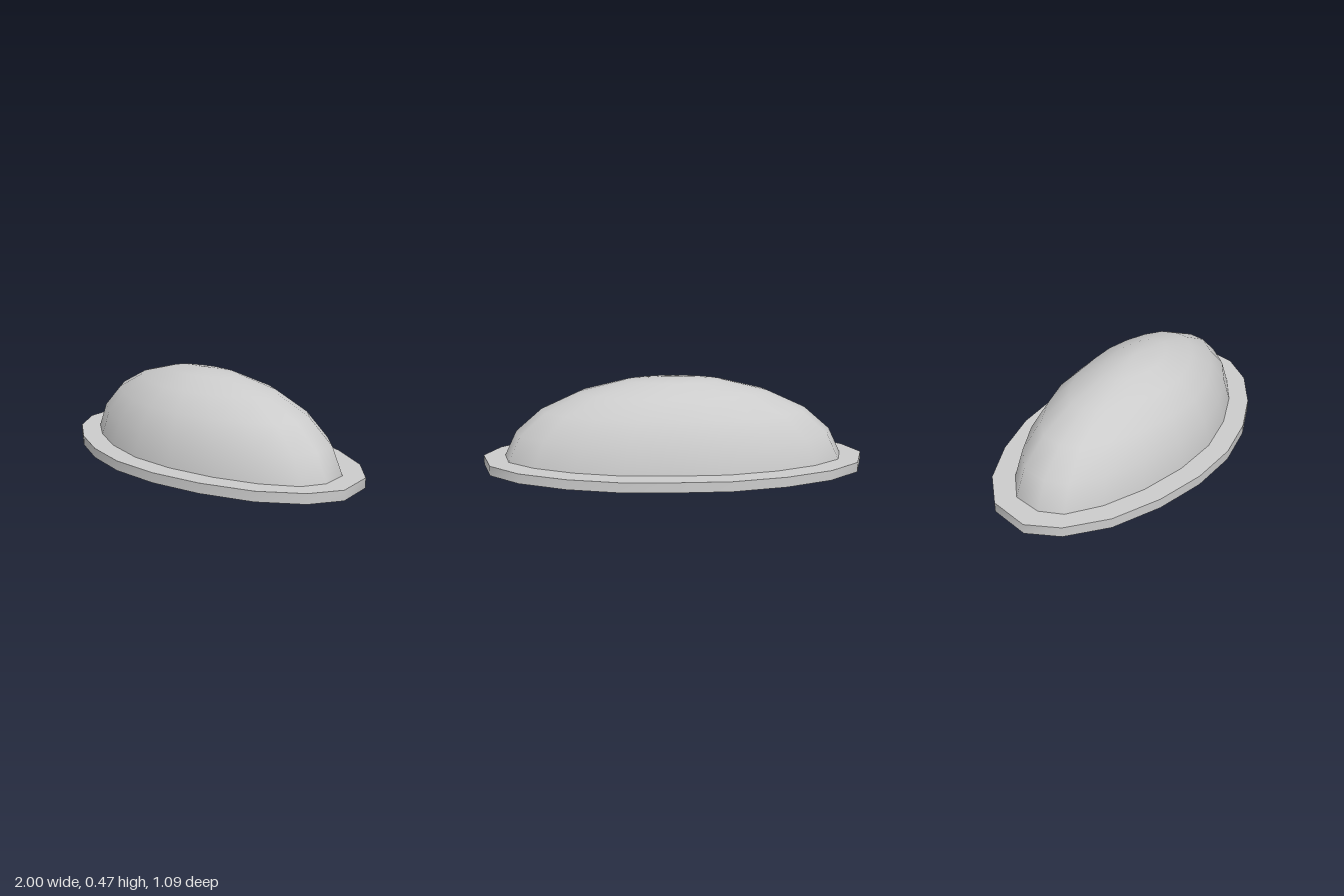
import * as THREE from 'three';
import { mergeVertices } from 'three/addons/utils/BufferGeometryUtils.js';

// Half outlines (x >= 0) from the back middle round to the front middle, as [x, z]
const OUTER = [[0, -0.545], [0.26, -0.538], [0.53, -0.476], [0.77, -0.372], [0.933, -0.232],
  [1, -0.02], [0.935, 0.145], [0.77, 0.306], [0.53, 0.43], [0.27, 0.51], [0, 0.54]];
const INNER = [[0, -0.438], [0.255, -0.43], [0.5, -0.37], [0.705, -0.28], [0.847, -0.168],
  [0.887, -0.02], [0.847, 0.1], [0.705, 0.222], [0.5, 0.327], [0.255, 0.402], [0, 0.432]];

const RIM_HEIGHT = 0.05;

// Mirror a half outline into a closed loop
function closeLoop(half) {
  const mirrored = half.slice(1, -1).reverse().map(([x, z]) => [-x, z]);
  return [...half, ...mirrored];
}

// Place an outline at height y, scaled towards the middle
function ring(outline, y, sx = 1, sz = sx, dz = 0) {
  return outline.map(([x, z]) => [x * sx, y, z * sz + dz]);
}

// Smooth skin through a stack of rings
function skin(rings) {
  const n = rings[0].length;
  const index = [];
  for (let r = 0; r < rings.length - 1; r++) {
    for (let i = 0; i < n; i++) {
      const j = (i + 1) % n;
      const a = r * n + i, b = r * n + j, c = a + n, d = b + n;
      index.push(a, c, b, b, c, d);
    }
  }
  let geometry = new THREE.BufferGeometry();
  geometry.setAttribute('position', new THREE.Float32BufferAttribute(rings.flat(2), 3));
  geometry.setIndex(index);
  geometry = mergeVertices(geometry);
  geometry.computeVertexNormals();
  return geometry;
}

export function createModel() {
  const model = new THREE.Group();
  model.name = 'domedCover';
  const material = new THREE.MeshStandardMaterial({ color: 0xcccccc, side: THREE.DoubleSide });
  const outer = closeLoop(OUTER);
  const inner = closeLoop(INNER);

  const add = (name, rings) => {
    const mesh = new THREE.Mesh(skin(rings), material);
    mesh.name = name;
    model.add(mesh);
  };

  // Flat flange: separate skins keep its edges sharp
  add('rimUnderside', [ring(inner, 0), ring(outer, 0)]);
  add('rimEdge', [ring(outer, 0), ring(outer, RIM_HEIGHT)]);
  add('rimTop', [ring(outer, RIM_HEIGHT), ring(inner, RIM_HEIGHT)]);

  // Hollow shell, open below: [y, x scale, z scale, z shift]
  const levels = [[0, 1, 1, 0], [RIM_HEIGHT, 1, 1, 0], [0.18, 0.93, 0.932, 0],
    [0.297, 0.778, 0.785, 0.001], [0.387, 0.555, 0.57, 0.002],
    [0.445, 0.285, 0.295, 0.003], [0.465, 0, 0, -0.012]];
  add('dome', levels.map(([y, sx, sz, dz]) => ring(inner, y, sx, sz, dz)));

  return model;
}
